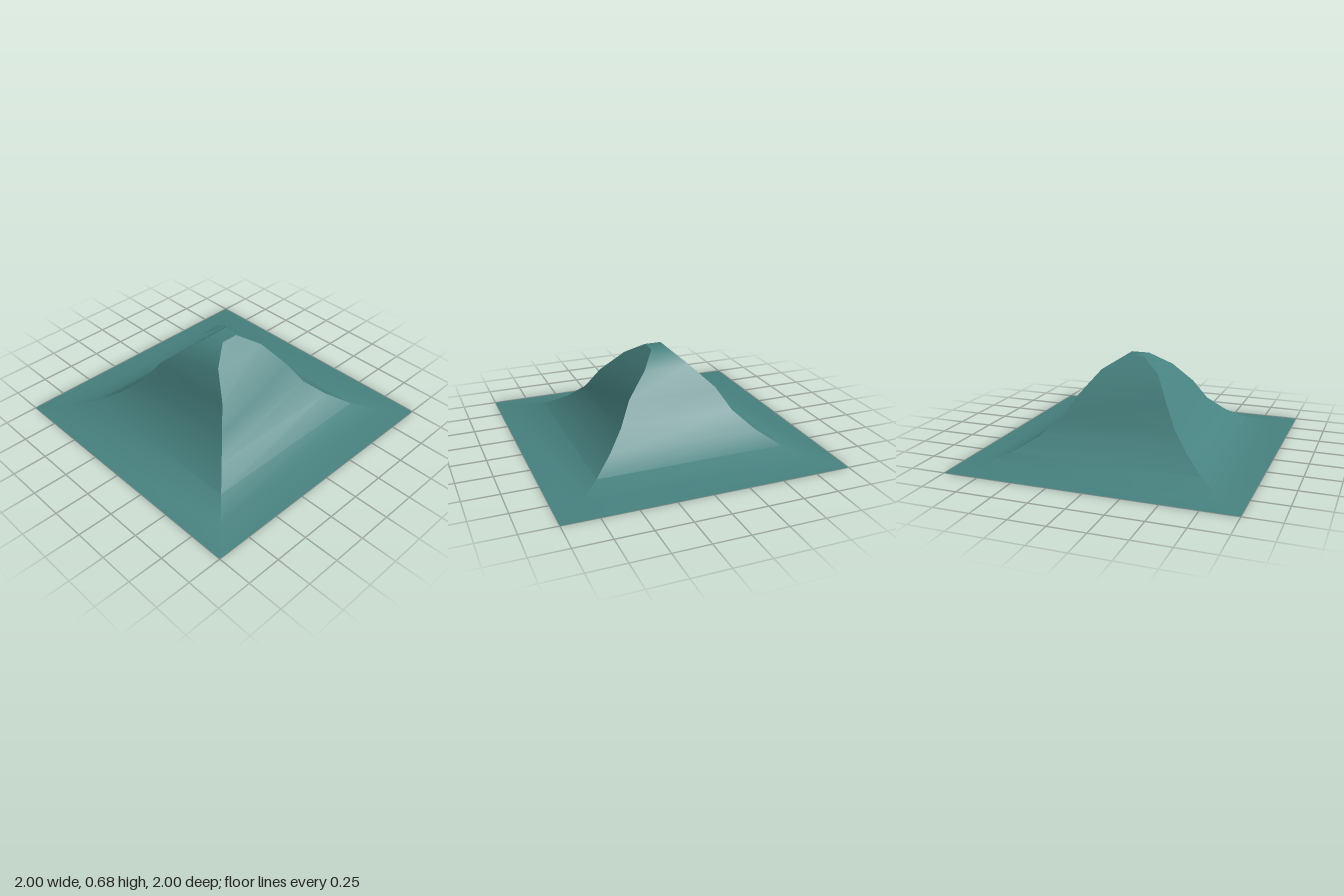
import * as THREE from 'three';
import { toCreasedNormals } from 'three/addons/utils/BufferGeometryUtils.js';

// Rectangular rings from the ground to the summit: [half width x, half depth z, height]
const RINGS = [
  [1, 1, 0], [0.83, 0.83, 0.02], [0.67, 0.67, 0.075], [0.53, 0.53, 0.165],
  [0.41, 0.41, 0.28], [0.32, 0.32, 0.43], [0.165, 0.21, 0.582], [0.06, 0.065, 0.675],
];
const CORNERS = [[1, 1], [1, -1], [-1, -1], [-1, 1]];

// Geometry from a list of points and triangle indices
function buildGeometry(points, index) {
  const geometry = new THREE.BufferGeometry();
  geometry.setAttribute('position', new THREE.Float32BufferAttribute(points.flat(), 3));
  geometry.setIndex(index);
  return geometry;
}

export function createModel() {
  const group = new THREE.Group();
  group.name = 'hill';
  const material = new THREE.MeshStandardMaterial({ color: 0x478280 });

  const add = (name, geometry) => {
    const mesh = new THREE.Mesh(geometry, material);
    mesh.name = name;
    group.add(mesh);
  };

  // Slopes and flat summit, smooth at the foot and creased along the ridges
  const points = RINGS.flatMap(([w, d, y]) => CORNERS.map(([sx, sz]) => [sx * w, y, sz * d]));
  const index = [];
  for (let r = 0; r < RINGS.length - 1; r++) {
    for (let k = 0; k < 4; k++) {
      const a = r * 4 + k;
      const b = r * 4 + ((k + 1) % 4);
      index.push(a, b, b + 4, a, b + 4, a + 4);
    }
  }
  const top = (RINGS.length - 1) * 4;
  index.push(top, top + 1, top + 2, top, top + 2, top + 3);
  add('slopes', toCreasedNormals(buildGeometry(points, index), THREE.MathUtils.degToRad(34)));

  // Flat underside
  const base = new THREE.PlaneGeometry(2, 2);
  base.rotateX(Math.PI / 2);
  add('underside', base);

  // Small triangular facet lying on the slope near one corner
  const facet = buildGeometry(
    [[-0.84, 0.021, -0.75], [-0.84, 0.021, -0.5], [-0.75, 0.05, -0.75]], [0, 1, 2]);
  facet.computeVertexNormals();
  add('slopeFacet', facet);

  return group;
}
